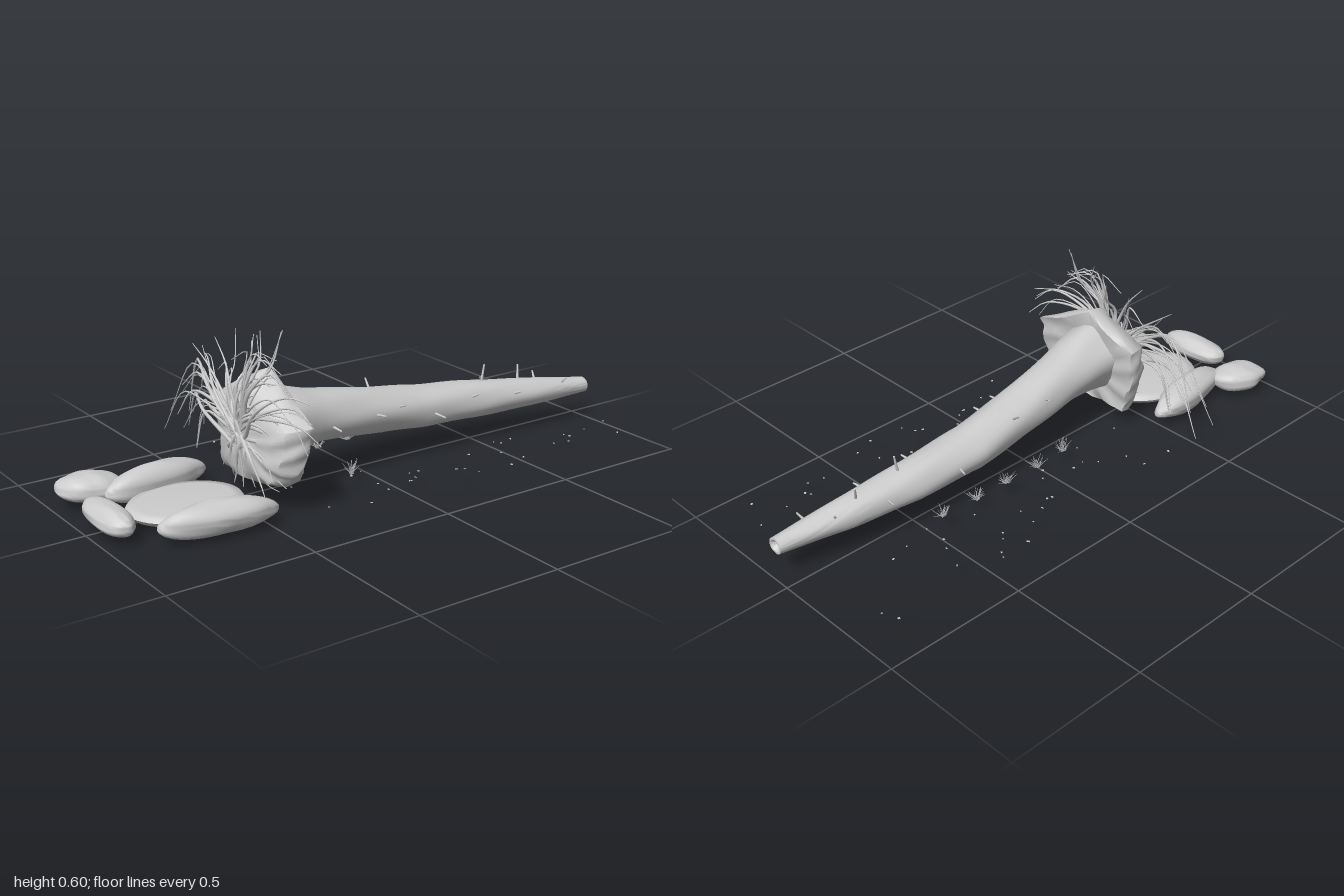
import * as THREE from 'three';
import { mergeGeometries, toCreasedNormals } from 'three/addons/utils/BufferGeometryUtils.js';

const V = (x, y, z) => new THREE.Vector3(x, y, z);
const stone = new THREE.MeshStandardMaterial({ color: 0xcccccc });
stone.name = 'paleGrey';

// Small seeded generator
function makeRandom(seed) {
  let s = seed;
  return (a = 0, b = 1) => {
    s = (s * 1664525 + 1013904223) % 4294967296;
    return a + (b - a) * (s / 4294967296);
  };
}

// Skin through closed rings of points that advance along +x
function loft(rings, crease) {
  const n = rings[0].length, pos = [], idx = [];
  rings.forEach(r => r.forEach(p => pos.push(p.x, p.y, p.z)));
  for (let i = 0; i < rings.length - 1; i++) {
    for (let j = 0; j < n; j++) {
      const k = (j + 1) % n, a = i * n, b = a + n;
      idx.push(a + j, a + k, b + j, a + k, b + k, b + j);
    }
  }
  const g = new THREE.BufferGeometry();
  g.setAttribute('position', new THREE.Float32BufferAttribute(pos, 3));
  g.setIndex(idx);
  return toCreasedNormals(g, crease);
}

// Tube narrowing from radius r0 to r1 along a smooth path
function taperedTube(points, r0, r1, segments = 14, sides = 6) {
  const curve = new THREE.CatmullRomCurve3(points);
  const g = new THREE.TubeGeometry(curve, segments, 1, sides);
  const p = g.attributes.position, v = V(0, 0, 0);
  for (let i = 0; i < p.count; i++) {
    const t = Math.floor(i / (sides + 1)) / segments;
    const c = curve.getPointAt(t);
    v.fromBufferAttribute(p, i).sub(c).multiplyScalar(r0 + (r1 - r0) * t).add(c);
    p.setXYZ(i, v.x, v.y, v.z);
  }
  return g;
}

// Thin tapered rod between two points
function rod(a, b, r0, r1, sides = 6) {
  const d = b.clone().sub(a);
  const g = new THREE.CylinderGeometry(r1, r0, d.length(), sides);
  g.applyQuaternion(new THREE.Quaternion().setFromUnitVectors(V(0, 1, 0), d.clone().normalize()));
  const m = a.clone().add(b).multiplyScalar(0.5);
  return g.translate(m.x, m.y, m.z);
}

// Trunk stations: x, centre y, centre z, radius y, radius z
const trunkStations = [
  [-0.42, 0.255, 0.045, 0.125, 0.118], [-0.33, 0.25, 0.045, 0.112, 0.106],
  [-0.2, 0.237, 0.03, 0.09, 0.092], [0, 0.208, 0.013, 0.08, 0.087],
  [0.25, 0.17, 0.0, 0.074, 0.084], [0.5, 0.151, 0.008, 0.067, 0.072],
  [0.75, 0.138, 0.032, 0.05, 0.056], [0.985, 0.126, 0.058, 0.028, 0.029]];

function trunkAt(x) {
  let i = 0;
  while (i < trunkStations.length - 2 && x > trunkStations[i + 1][0]) i++;
  const a = trunkStations[i], b = trunkStations[i + 1];
  const t = THREE.MathUtils.clamp((x - a[0]) / (b[0] - a[0]), 0, 1);
  return a.map((v, k) => v + (b[k] - v) * t);
}

function trunkPoint(x, angle, scale = 1) {
  const [, y, z, ry, rz] = trunkAt(x);
  return V(x, y + Math.cos(angle) * ry * scale, z + Math.sin(angle) * rz * scale);
}

function trunkGeometry() {
  const rings = [], n = 32;
  const ring = (x, s) => Array.from({ length: n }, (_, j) => {
    const a = j / n * Math.PI * 2;
    const flare = Math.max(0, (-0.1 - x) / 0.3);
    const bark = 1 + 0.018 * Math.sin(5 * a + 9 * x) + 0.015 * Math.sin(3 * a - 23 * x)
      + 0.05 * flare * Math.cos(5 * a);
    return trunkPoint(x, a, s * bark);
  });
  for (let i = 0; i <= 40; i++) rings.push(ring(-0.42 + 1.41 * i / 40, 1));
  rings.push(ring(0.99, 0.75), ring(0.975, 0.4), ring(0.982, 0.001));
  return loft(rings, 0.7);
}

// Root plate outline as z, y corners, from the top round by +z
const plateCorners = [[0.045, 0.435], [0.295, 0.3], [0.285, 0.22], [0.265, 0.14], [0.21, 0.09],
  [0.05, 0.065], [-0.1, 0.07], [-0.135, 0.15], [-0.16, 0.25], [-0.152, 0.335]];

function plateGeometry() {
  const steps = 6, outline = [];
  plateCorners.forEach(([z, y], i) => {
    const [z2, y2] = plateCorners[(i + 1) % plateCorners.length];
    for (let s = 0; s < steps; s++) outline.push([z + (z2 - z) * s / steps, y + (y2 - y) * s / steps]);
  });
  const profile = [[-0.475, 0.001], [-0.475, 0.4], [-0.468, 0.7], [-0.45, 0.88], [-0.42, 0.96],
    [-0.395, 1], [-0.375, 0.99], [-0.37, 0.95], [-0.372, 0.7], [-0.37, 0.4], [-0.37, 0.001]];
  return loft(profile.map(([x, s], i) => outline.map(([z, y], j) => {
    const k = s * (1 + 0.012 * Math.sin(j * 1.3 + i));
    const py = 0.24 + (y - 0.24) * k, pz = 0.06 + (z - 0.06) * k;
    return V(x + 0.1 * (py - 0.25) + 0.006 * s * Math.sin(j * 0.8 + i * 1.7), py, pz);
  })), 0.75);
}

// Main roots: peak z, peak y, end z, end y
const rootArcs = [
  [0.33, 0.325, 0.385, 0.275], [0.31, 0.38, 0.37, 0.33], [0.25, 0.4, 0.35, 0.39],
  [0.2, 0.465, 0.275, 0.4], [0.17, 0.43, 0.27, 0.455], [0.15, 0.5, 0.235, 0.47],
  [0.17, 0.47, 0.18, 0.59], [0.12, 0.48, 0.08, 0.57], [0.12, 0.515, 0.19, 0.49],
  [0.09, 0.5, 0.03, 0.46], [0.03, 0.45, 0, 0.535], [-0.03, 0.45, -0.09, 0.52],
  [-0.05, 0.44, -0.12, 0.4], [-0.15, 0.42, -0.215, 0.47], [-0.19, 0.42, -0.28, 0.41],
  [-0.2, 0.375, -0.29, 0.31], [-0.23, 0.36, -0.34, 0.26], [-0.24, 0.3, -0.32, 0.2],
  [-0.3, 0.27, -0.43, 0.11], [-0.24, 0.26, -0.31, 0.15], [-0.19, 0.24, -0.24, 0.1],
  [-0.26, 0.4, -0.38, 0.18]];

function rootGeometries() {
  const rnd = makeRandom(7), out = [];
  const arc = (pz, py, ez, ey, r) => {
    const hz = 0.05 + rnd(-0.04, 0.04), hy = 0.24 + rnd(-0.05, 0.04);
    const x = -0.475 + rnd(-0.012, 0.012), tip = rnd(-0.5, -0.39);
    const mix = (t, lift) => V(x - 0.01, hy + (py - hy) * t + lift, hz + (pz - hz) * t);
    out.push(taperedTube([V(x, hy, hz), mix(0.55, 0.025), V((x + tip) / 2, py, pz), V(tip, ey, ez)],
      r, 0.0012));
  };
  rootArcs.forEach(a => {
    arc(...a, 0.0085);
    // Finer strand beside each root
    arc(...a.map(v => v + rnd(-0.025, 0.02)), 0.004);
  });
  // Roots spreading over and hanging down the back of the plate
  for (let i = 0; i < 26; i++) {
    const a = i / 26 * Math.PI * 2, r = rnd(0.12, 0.17);
    const z = 0.06 + Math.sin(a) * r * 1.1, y = 0.23 + Math.cos(a) * r;
    arc(z, y, z + Math.sin(a) * 0.04, Math.max(0.06, y - rnd(0.03, 0.09)), rnd(0.005, 0.012));
  }
  return out;
}

// Rounded boulder with a gently uneven surface
function boulder(rx, ry, rz, seed) {
  const g = new THREE.SphereGeometry(1, 32, 20), p = g.attributes.position;
  for (let i = 0; i < p.count; i++) {
    const x = p.getX(i), y = p.getY(i), z = p.getZ(i);
    const k = 1 + 0.05 * Math.sin(3 * x + seed) * Math.cos(2.6 * z + seed * 2)
      + 0.04 * Math.sin(4.2 * y + 3.1 * z + seed * 3) + 0.02 * Math.sin(7 * x - 5 * z + seed);
    p.setXYZ(i, x * k * rx, y * k * ry, z * k * rz);
  }
  return toCreasedNormals(g, 1);
}

export function createModel() {
  const group = new THREE.Group();
  const add = (name, geometry) => {
    const m = new THREE.Mesh(geometry, stone);
    m.name = name;
    group.add(m);
    return m;
  };
  add('trunk', trunkGeometry());
  add('rootPlate', plateGeometry());
  add('roots', mergeGeometries(rootGeometries()));

  // Broken branch stubs: x, angle round the trunk, length
  const stubs = [[0.54, 0, 0.055], [0.71, -0.3, 0.045], [0.8, -0.8, 0.03], [0.28, 1.7, 0.04],
    [-0.17, 1.8, 0.035], [0.02, 1.5, 0.035], [0.12, 1.2, 0.02], [0.45, 1.1, 0.02], [0.64, 1.2, 0.02],
    [0.87, 0.7, 0.02], [0.1, -0.9, 0.05], [0.35, -1.5, 0.03], [0.62, -1.3, 0.03], [-0.05, -1.1, 0.025]];
  add('branchStubs', mergeGeometries(stubs.map(([x, a, len]) => {
    const base = trunkPoint(x, a, 0.9);
    return rod(base, base.clone().add(V(0.012, Math.cos(a) * (len + 0.008), Math.sin(a) * (len + 0.008))),
      0.005, 0.003);
  })));

  // Pool in the hollow
  const pool = [[0, 0.012], [0.7, 0.017], [0.93, 0.027], [1, 0.042], [0.96, 0.052], [0.8, 0.055], [0, 0.056]];
  const poolMesh = add('pool', toCreasedNormals(
    new THREE.LatheGeometry(pool.map(([r, y]) => new THREE.Vector2(r, y)), 48), 0.8));
  poolMesh.scale.set(0.195, 1, 0.155);
  poolMesh.position.set(-0.672, 0, 0.03);

  // Boulders round the pool: centre, radii, turn
  [[-0.667, 0.065, 0.23, 0.19, 0.055, 0.063, -0.13], [-0.667, 0.06, -0.163, 0.19, 0.058, 0.06, 0.12],
    [-0.935, 0.06, 0.03, 0.058, 0.043, 0.14, 0], [-0.882, 0.065, -0.22, 0.105, 0.046, 0.074, -0.5],
  ].forEach(([x, y, z, rx, ry, rz, turn], i) => {
    const b = add('boulder' + (i + 1), boulder(rx, ry, rz, i * 1.9 + 1));
    b.position.set(x, y, z);
    b.rotation.y = turn;
  });

  // Grass tufts beside the trunk
  const rnd = makeRandom(21);
  [[-0.08, -0.11], [0.05, -0.12], [0.19, -0.115], [0.32, -0.115], [0.46, -0.105], [-0.125, 0.155]]
    .forEach(([x, z]) => {
      const blades = [];
      for (let i = 0; i < 24; i++) {
        const a = rnd(0, Math.PI * 2), r = rnd(0.012, 0.04);
        const base = V(x + rnd(-0.008, 0.008), 0.055, z + rnd(-0.008, 0.008));
        blades.push(rod(base, base.clone().add(V(Math.cos(a) * r, rnd(0.012, 0.045), Math.sin(a) * r * 0.7)),
          0.0018, 0.0006, 3));
      }
      add('grassTuft', mergeGeometries(blades));
    });

  // Scattered chips on the ground
  const chips = [];
  for (let i = 0; i < 60; i++) {
    const side = i % 2 ? 1 : -1;
    const g = new THREE.BoxGeometry(rnd(0.003, 0.009), 0.002, rnd(0.003, 0.008));
    chips.push(g.rotateY(rnd(0, 3)).translate(rnd(-0.35, 0.93), 0.055, side * rnd(0.12, 0.4)));
  }
  add('chips', mergeGeometries(chips));
  return group;
}
